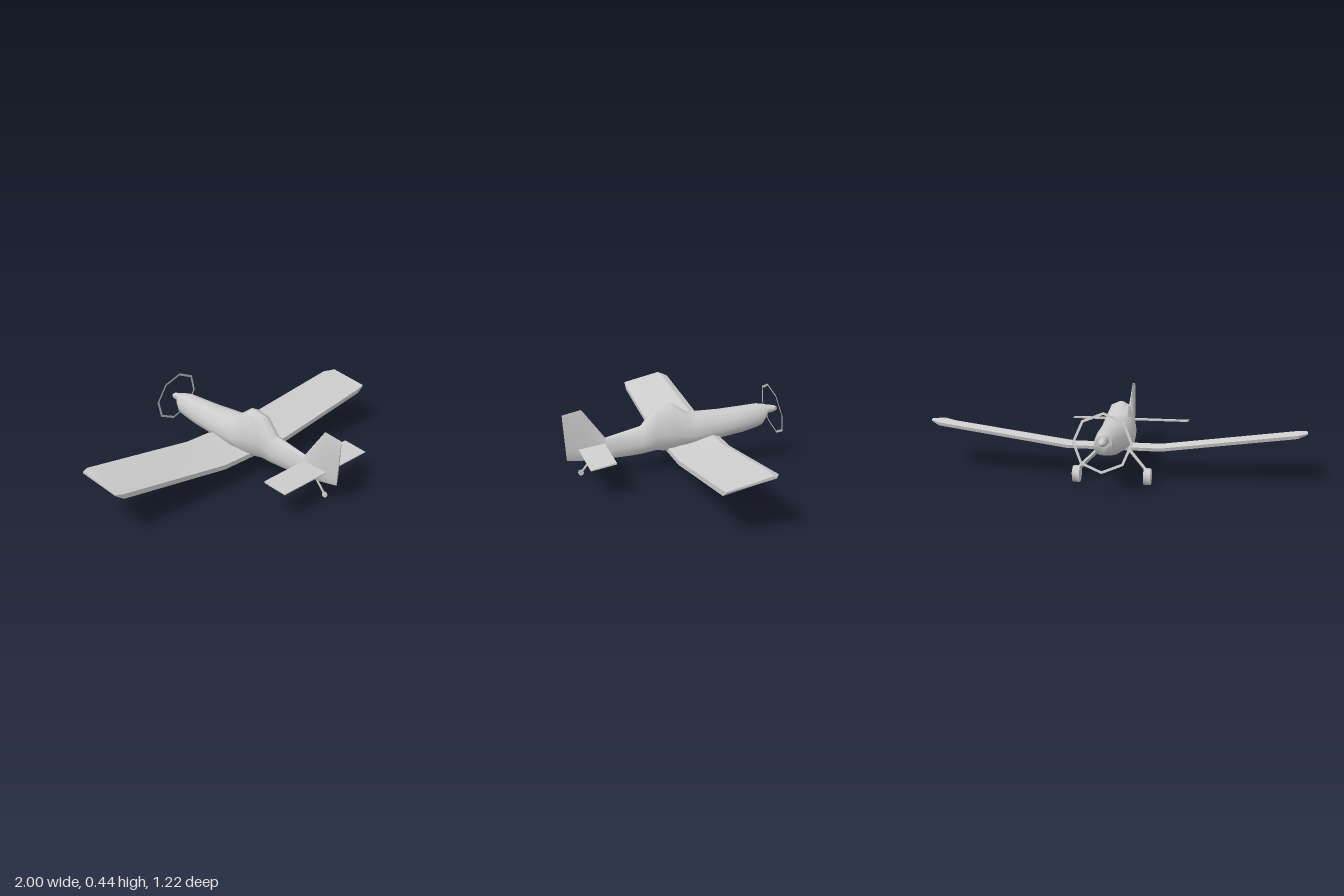
import * as THREE from 'three';
import { toCreasedNormals } from 'three/addons/utils/BufferGeometryUtils.js';

const grey = new THREE.MeshStandardMaterial({ color: 0xcccccc });
const thin = new THREE.MeshStandardMaterial({ color: 0xcccccc, side: THREE.DoubleSide });

// Skin a closed solid through equal-length rings of [x, y, z] points, ends capped
function loft(rings, crease) {
  const n = rings[0].length;
  const p = rings.flat();
  const tris = [];
  for (let r = 0; r < rings.length - 1; r++) {
    for (let i = 0; i < n; i++) {
      const a = r * n + i, b = r * n + (i + 1) % n;
      tris.push([a, b, b + n], [a, b + n, a + n]);
    }
  }
  const last = (rings.length - 1) * n;
  for (let i = 1; i < n - 1; i++) {
    tris.push([0, i + 1, i], [last, last + i, last + i + 1]);
  }
  // A negative volume means the faces point inward, so turn them round
  const v = p.map((q) => new THREE.Vector3(...q));
  const volume = tris.reduce((s, [a, b, c]) => s + v[a].dot(v[b].clone().cross(v[c])), 0);
  if (volume < 0) tris.forEach((t) => t.reverse());
  const g = new THREE.BufferGeometry();
  g.setAttribute('position', new THREE.Float32BufferAttribute(p.flat(), 3));
  g.setIndex(tris.flat());
  return toCreasedNormals(g, crease);
}

function add(parent, name, geometry, material = grey) {
  const mesh = new THREE.Mesh(geometry, material);
  mesh.name = name;
  parent.add(mesh);
  return mesh;
}

// Body cross-section: [share of half width, share of height], bottom to top
const half = [[0, 0], [0.55, 0.03], [0.92, 0.2], [1, 0.4], [0.88, 0.66], [0.52, 0.92], [0, 1]];
const outline = [...half, ...half.slice(1, -1).reverse().map(([w, h]) => [-w, h])];

// Body stations: z, bottom, top, half width, lean of the top in z
const stations = [
  [-0.537, 0.255, 0.323, 0.043, 0],
  [-0.51, 0.215, 0.329, 0.056, 0],
  [-0.48, 0.203, 0.333, 0.062, 0],
  [-0.39, 0.182, 0.326, 0.074, 0],
  [-0.27, 0.165, 0.317, 0.089, 0],
  [-0.11, 0.133, 0.317, 0.097, 0],
  [-0.07, 0.125, 0.323, 0.097, 0],
  [0.01, 0.11, 0.375, 0.09, 0],
  [0.107, 0.117, 0.353, 0.067, 0],
  [0.18, 0.105, 0.26, 0.053, 0],
  [0.25, 0.097, 0.242, 0.043, 0],
  [0.38, 0.09, 0.21, 0.026, 0],
  [0.464, 0.087, 0.32, 0.014, 0],
  [0.506, 0.09, 0.375, 0.008, 0],
  [0.59, 0.098, 0.352, 0.004, 0.02],
];

// Wing cross-section: [y, z], from lower trailing edge round the top to the lower leading edge
const airfoil = [[0.1, 0.042], [0.125, 0.042], [0.193, -0.2], [0.178, -0.243], [0.16, -0.238]];
const wingRing = (x, lift, inset) => airfoil.map(([y, z]) => [x, y + lift, z < 0 ? z + inset : z - inset * 0.3]);

// Upturned tip: the underside sweeps up to meet the top skin
const tipRing = (x) => [
  [x, 0.232, 0.037], [x, 0.238, 0.037], [x, 0.29, -0.185], [x, 0.283, -0.2], [x, 0.277, -0.198],
];

export function createModel() {
  const model = new THREE.Group();
  model.name = 'airplane';

  // Fuselage narrowing into the tail fin
  add(model, 'fuselageAndFin', loft(stations.map(([z, bottom, top, width, lean]) =>
    outline.map(([w, h]) => [w * width, bottom + h * (top - bottom), z + lean * h])), 0.75));

  // One-piece wing with a flat centre and raised outer panels
  add(model, 'wing', loft([
    tipRing(-1), wingRing(-0.95, 0.1, 0.012), wingRing(-0.25, 0.007, 0), wingRing(0.25, 0.007, 0),
    wingRing(0.95, 0.1, 0.012), tipRing(1),
  ], 0.4));

  // Tailplane, a thin tilted slab
  add(model, 'tailplane', loft([-0.34, 0, 0.34].map((x) => {
    const front = x ? 0.392 : 0.386;
    return [[x, 0.151, 0.526], [x, 0.156, 0.526], [x, 0.184, front], [x, 0.175, front]];
  }), 0.4));

  // Spinner
  const spinner = add(model, 'spinner', new THREE.LatheGeometry(
    [[0, 0], [0.028, 0], [0.019, 0.06], [0.017, 0.065], [0.008, 0.078], [0, 0.08]]
      .map(([r, y]) => new THREE.Vector2(r, y)), 10));
  spinner.position.set(0, 0.295, -0.527);
  spinner.rotation.x = -Math.PI / 2;

  // Propeller sweep, a flat eight-sided ring tilted forward at the bottom
  const ring = add(model, 'propellerRing',
    new THREE.RingGeometry(0.137, 0.151, 8, 1, Math.PI / 2), thin);
  ring.position.set(0, 0.295, -0.579);
  ring.rotation.x = 0.217;

  // Main landing gear
  for (const [side, name] of [[1, 'leftGear'], [-1, 'rightGear']]) {
    const gear = new THREE.Group();
    gear.name = name;
    model.add(gear);
    const wheel = add(gear, 'wheel', toCreasedNormals(
      new THREE.CylinderGeometry(0.044, 0.044, 0.038, 8, 1, false, Math.PI / 8), 0.9));
    wheel.rotation.z = Math.PI / 2;
    wheel.position.set(side * 0.187, 0.043, -0.285);
    const blade = (x, y0, z0, y1, z1) => [
      [x - 0.008, y0, z0], [x + 0.008, y0, z0], [x + 0.008, y1, z1], [x - 0.008, y1, z1],
    ].map(([px, py, pz]) => [side * px, py, pz]);
    add(gear, 'strut', loft([
      blade(0.08, 0.15, -0.165, 0.175, -0.24), blade(0.178, 0.058, -0.25, 0.08, -0.28),
    ], 0.4));
  }

  // Tail wheel and its leg
  const tailWheel = add(model, 'tailWheel', toCreasedNormals(
    new THREE.CylinderGeometry(0.016, 0.016, 0.008, 8), 0.9));
  tailWheel.rotation.z = Math.PI / 2;
  tailWheel.position.set(0, 0.023, 0.516);
  add(model, 'tailWheelLeg', new THREE.TubeGeometry(new THREE.LineCurve3(
    new THREE.Vector3(0, 0.1, 0.455), new THREE.Vector3(0, 0.026, 0.513)), 1, 0.006, 6));

  // Rest the wheels on the ground and centre the length
  const box = new THREE.Box3().setFromObject(model);
  const centre = box.getCenter(new THREE.Vector3());
  model.children.forEach((c) => c.position.add(new THREE.Vector3(-centre.x, -box.min.y, -centre.z)));
  return model;
}
